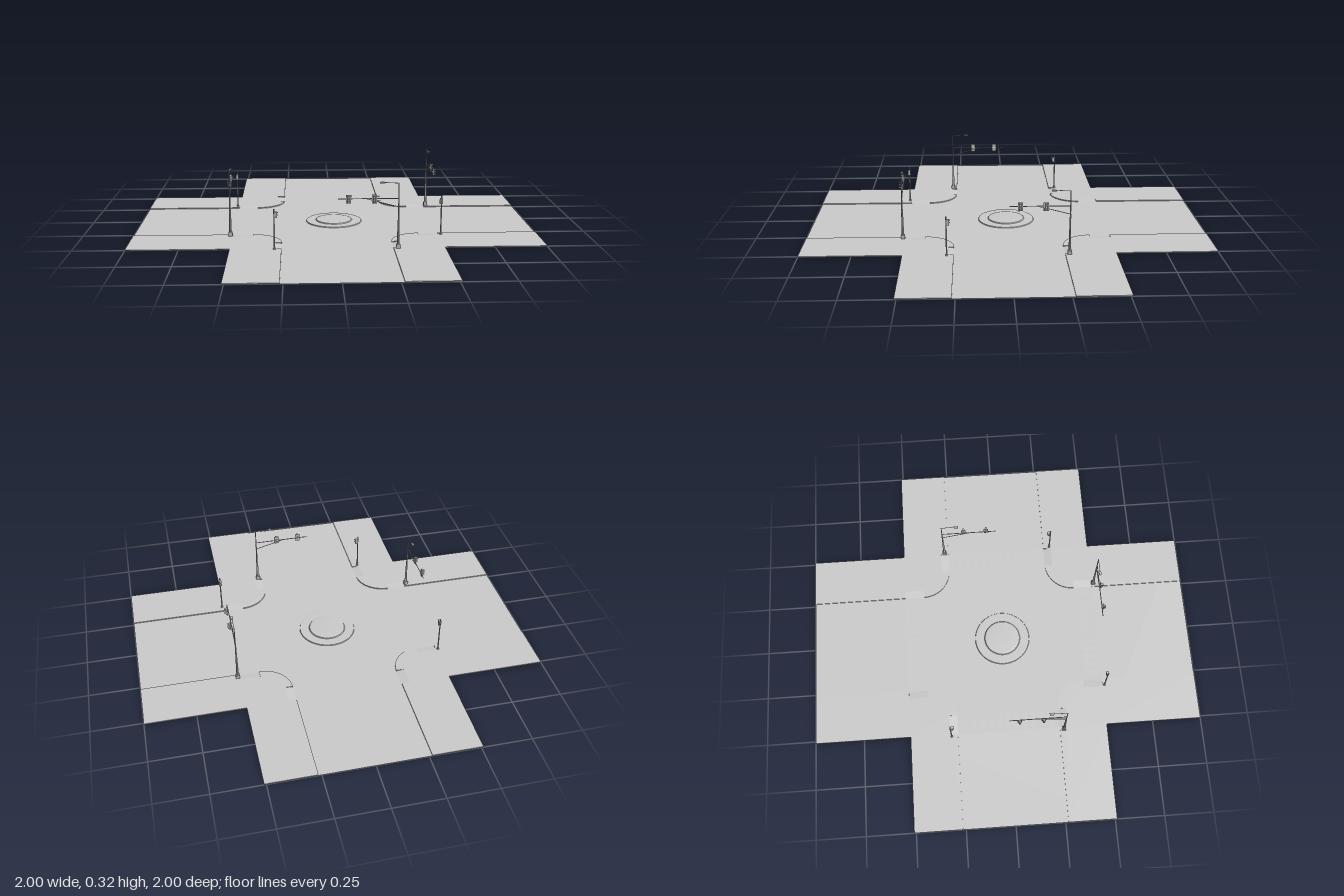
import * as THREE from 'three';

const grey = new THREE.MeshStandardMaterial({ color: 0xcccccc, side: THREE.DoubleSide });
const flat = new THREE.MeshStandardMaterial({ color: 0xcccccc, flatShading: true });
const ROAD = 0.265, EDGE = 0.51, CURB = 0.005, RADIUS = 0.145, RAMP = 0.04;

function add(parent, name, geometry, x = 0, y = 0, z = 0, material = flat) {
  const mesh = new THREE.Mesh(geometry, material);
  mesh.name = name;
  mesh.position.set(x, y, z);
  parent.add(mesh);
  return mesh;
}

function group(parent, name, x = 0, y = 0, z = 0) {
  const g = new THREE.Group();
  g.name = name;
  g.position.set(x, y, z);
  parent.add(g);
  return g;
}

const box = (w, h, d) => new THREE.BoxGeometry(w, h, d);

// Straight round bar between two points
function bar(parent, name, a, b, r) {
  const from = new THREE.Vector3(...a), to = new THREE.Vector3(...b);
  const mesh = add(parent, name, new THREE.CylinderGeometry(r, r, from.distanceTo(to), 8));
  mesh.position.copy(from).lerp(to, 0.5);
  mesh.quaternion.setFromUnitVectors(new THREE.Vector3(0, 1, 0), to.sub(from).normalize());
}

// Cross-shaped road sheet
function road(parent) {
  const e = EDGE;
  const points = [[-e, -1], [e, -1], [e, -e], [1, -e], [1, e], [e, e], [e, 1], [-e, 1], [-e, e], [-1, e], [-1, -e], [-e, -e]];
  const shape = new THREE.Shape(points.map(p => new THREE.Vector2(...p)));
  add(parent, 'road', new THREE.ShapeGeometry(shape).rotateX(-Math.PI / 2), 0, 0, 0, grey);
}

// One corner pavement with a rounded kerb and two sloping ramps
function pavement(parent) {
  const corner = group(parent, 'pavementCorner');
  const c = ROAD + RADIUS, inner = ROAD + RAMP;
  const s = new THREE.Shape();
  s.moveTo(1, ROAD);
  s.lineTo(1, EDGE);
  s.lineTo(EDGE, EDGE);
  s.lineTo(EDGE, 1);
  s.lineTo(ROAD, 1);
  s.lineTo(ROAD, EDGE);
  s.lineTo(inner, EDGE);
  s.lineTo(inner, c);
  s.lineTo(ROAD, c);
  s.absarc(c, c, RADIUS, Math.PI, Math.PI * 1.5, false);
  s.lineTo(c, inner);
  s.lineTo(EDGE, inner);
  s.lineTo(EDGE, ROAD);
  const slab = new THREE.ExtrudeGeometry(s, { depth: CURB, bevelEnabled: false, curveSegments: 12 });
  add(corner, 'pavement', slab.rotateX(Math.PI / 2), 0, CURB, 0);

  const wedge = new THREE.Shape([[0, 0], [RAMP, 0], [RAMP, CURB]].map(p => new THREE.Vector2(...p)));
  const ramp = new THREE.ExtrudeGeometry(wedge, { depth: EDGE - c, bevelEnabled: false });
  add(corner, 'kerbRamp', ramp, ROAD, 0, c);
  const second = ramp.clone().rotateY(-Math.PI / 2).translate(EDGE - c, 0, 0);
  add(corner, 'kerbRamp', second, c, 0, ROAD);
  return corner;
}

// Raised round island with a low mound
function island(parent) {
  const profile = [[0.145, 0], [0.143, 0.004], [0.14, 0.005], [0.095, 0.005], [0.092, 0.009], [0.085, 0.0105], [0.045, 0.012], [0, 0.0125]];
  const g = new THREE.LatheGeometry(profile.map(p => new THREE.Vector2(...p)), 48);
  add(parent, 'roundabout', g, 0, 0, 0, flat);
}

// Traffic light facing +z with three hooded lamps
function signal(parent, x, y, z) {
  const g = group(parent, 'trafficLight', x, y, z);
  add(g, 'backPlate', box(0.024, 0.042, 0.0015), 0, 0, 0.005);
  add(g, 'housing', box(0.014, 0.036, 0.008), 0, 0, 0.008);
  add(g, 'bracket', box(0.004, 0.01, 0.006), 0, 0, 0.002);
  for (const h of [-0.012, 0, 0.012]) {
    add(g, 'lens', new THREE.CircleGeometry(0.0042, 12), 0, h, 0.0125);
    const hood = new THREE.CylinderGeometry(0.005, 0.005, 0.008, 12, 1, true, Math.PI / 2, Math.PI);
    add(g, 'hood', hood.rotateX(Math.PI / 2), 0, h, 0.016, grey);
  }
  return g;
}

// Pedestrian light, hung beside its post on the +x side
function crossingLight(parent, x, y, z) {
  const g = group(parent, 'pedestrianLight', x, y, z);
  add(g, 'housing', box(0.011, 0.028, 0.014), 0.009, 0, 0);
  add(g, 'bracket', box(0.006, 0.005, 0.005), 0.003, 0, 0);
  for (const h of [-0.006, 0.006]) add(g, 'hood', box(0.006, 0.0015, 0.011), 0.0165, h + 0.005, 0);
}

// Tall mast: signal arm and street lamp reach towards -x
function mast(parent) {
  const g = group(parent, 'signalMast', 0.285, 0, 0.52);
  add(g, 'base', box(0.02, 0.024, 0.02), 0, 0.012, 0);
  add(g, 'lowerPole', new THREE.CylinderGeometry(0.0045, 0.0065, 0.12, 10), 0, 0.08, 0);
  add(g, 'middlePole', new THREE.CylinderGeometry(0.0035, 0.004, 0.07, 10), 0, 0.172, 0);
  add(g, 'upperPole', new THREE.CylinderGeometry(0.002, 0.003, 0.118, 8), 0, 0.262, 0);
  bar(g, 'signalArm', [0, 0.246, 0], [-0.285, 0.246, 0], 0.0022);
  bar(g, 'armBrace', [0, 0.205, 0], [-0.15, 0.245, 0], 0.0018);
  bar(g, 'lampArm', [0, 0.319, 0], [-0.07, 0.323, 0], 0.0015);
  add(g, 'streetLamp', box(0.022, 0.006, 0.011), -0.078, 0.322, 0);
  signal(g, -0.235, 0.245, 0);
  signal(g, -0.115, 0.245, 0);
  return g;
}

// Short post with a pedestrian light
function post(parent) {
  const g = group(parent, 'crossingPost', -0.298, 0, 0.52);
  add(g, 'base', new THREE.CylinderGeometry(0.005, 0.007, 0.014, 8), 0, 0.007, 0);
  add(g, 'pole', new THREE.CylinderGeometry(0.003, 0.0035, 0.2, 8), 0, 0.1, 0);
  crossingLight(g, 0, 0.172, 0);
}

// Zebra stripes across one arm of the junction
function crossing(parent) {
  for (let i = -5; i <= 5; i++) {
    const stripe = new THREE.PlaneGeometry(0.022, 0.07).rotateX(-Math.PI / 2);
    add(parent, 'crossingStripe', stripe, i * 0.045, 0.0004, 0.46);
  }
}

export function createModel() {
  const model = new THREE.Group();
  model.name = 'crossroads';
  road(model);
  island(model);
  for (let i = 0; i < 4; i++) {
    const side = group(model, 'junctionSide');
    side.rotation.y = -i * Math.PI / 2;
    pavement(side);
    crossing(side);
    // Masts and posts stand on the front, right and left sides
    if (i !== 2) {
      mast(side);
      post(side);
    }
  }
  return model;
}
